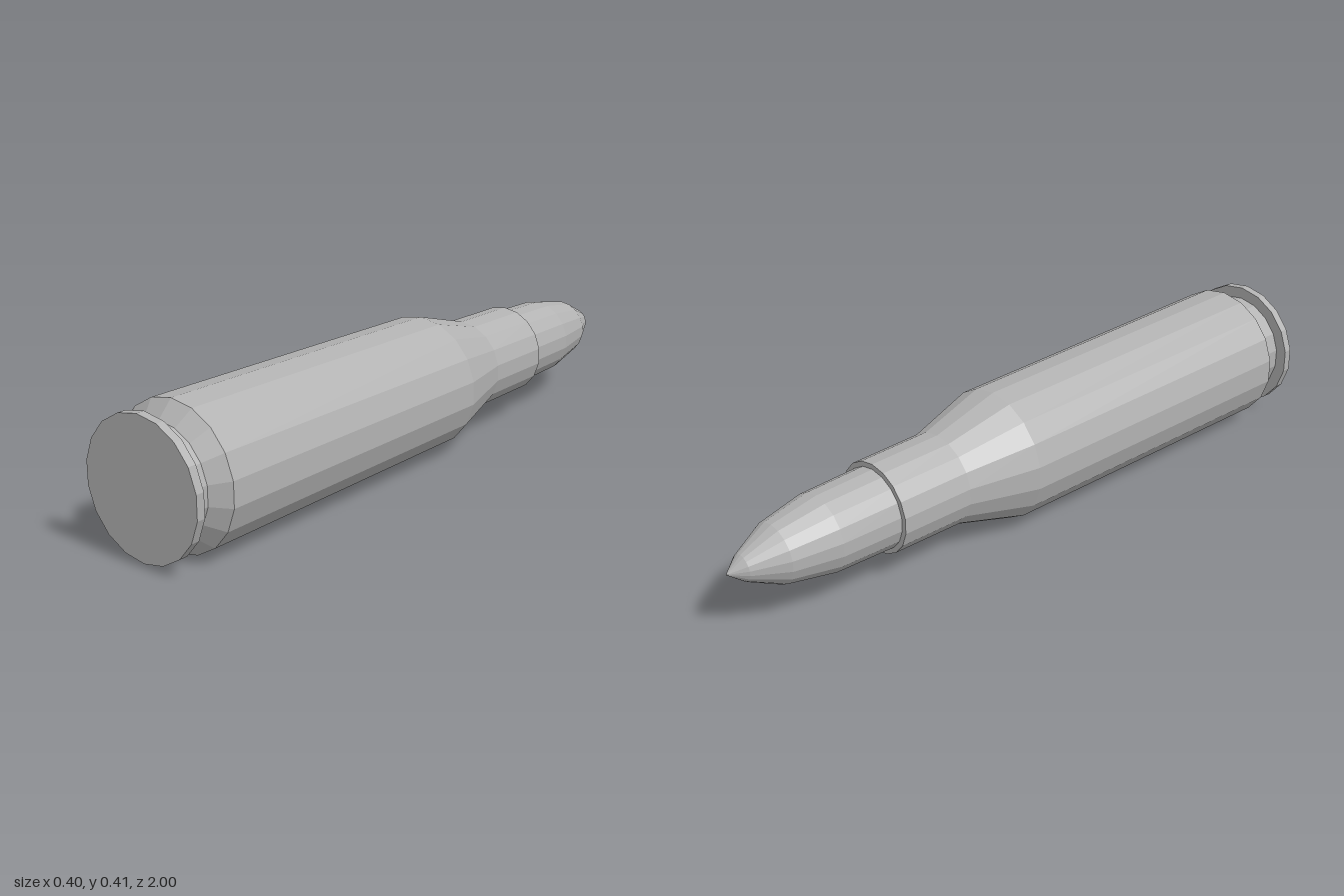
import * as THREE from 'three';

const SIDES = 18;
const AXIS_HEIGHT = 0.205;

// Revolve a [radius, z] profile, listed from front to back, around the z axis
function turned(name, profile, material) {
  const points = profile.map(([r, z]) => new THREE.Vector2(r, -z));
  const geometry = new THREE.LatheGeometry(points, SIDES);
  geometry.rotateX(-Math.PI / 2);
  const mesh = new THREE.Mesh(geometry, material);
  mesh.name = name;
  mesh.position.y = AXIS_HEIGHT;
  return mesh;
}

export function createModel() {
  const metal = new THREE.MeshStandardMaterial({ color: 0xb2b2b2, flatShading: true });
  metal.name = 'grey metal';

  const model = new THREE.Group();
  model.name = 'cartridge';

  // Flat base disc, rim and extractor groove
  model.add(turned('rim', [[0, 1], [0.193, 1], [0.193, 0.975], [0.158, 0.975], [0.158, 0.93]], metal));

  // Bevel, tapered body, shoulder, neck and mouth
  model.add(turned('case', [
    [0.158, 0.93], [0.203, 0.887], [0.194, -0.1], [0.136, -0.305], [0.133, -0.53], [0.115, -0.53],
  ], metal));

  // Pointed tip seated in the neck
  model.add(turned('tip', [
    [0.118, -0.5], [0.118, -0.53], [0.113, -0.715], [0.086, -0.856], [0.038, -0.953], [0, -1],
  ], metal));

  return model;
}
